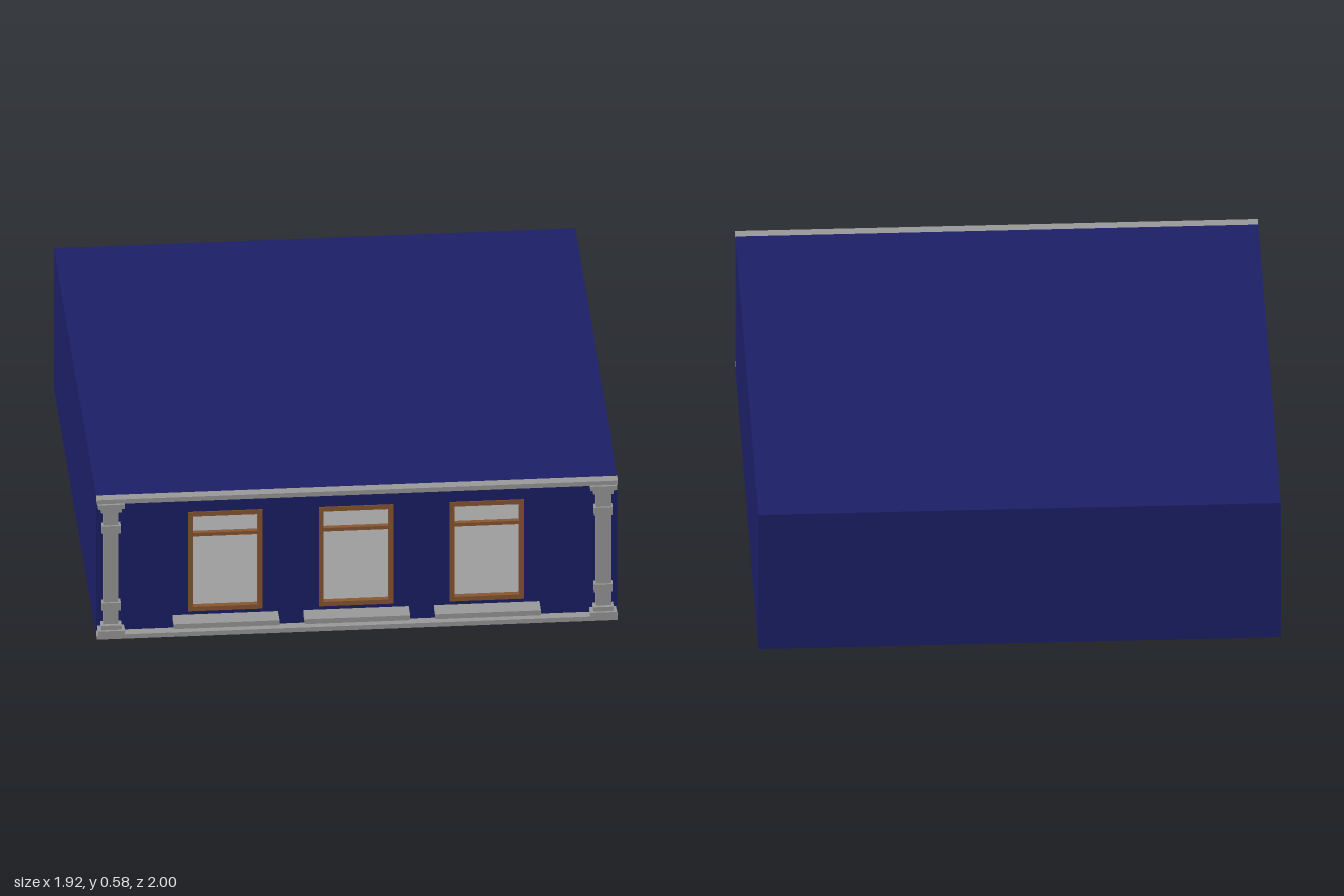
import * as THREE from 'three';

const HALF = 0.96, HEIGHT = 0.58, BACK = -1, INNER = 0.9, WALL = 0.928;
const WIN = { w: 0.274, y0: 0.085, y1: 0.497, bar: 0.018 };

const paint = (color) => new THREE.MeshStandardMaterial({ color });
const blue = paint(0x1b1f66), stone = paint(0x999999), wood = paint(0x8a5630), pane = paint(0xcccccc);

// Box given by its limits on each axis
function block(name, mat, x0, x1, y0, y1, z0, z1) {
  const mesh = new THREE.Mesh(new THREE.BoxGeometry(x1 - x0, y1 - y0, z1 - z0), mat);
  mesh.position.set((x0 + x1) / 2, (y0 + y1) / 2, (z0 + z1) / 2);
  mesh.name = name;
  return mesh;
}

// Rectangle as a shape or a hole
function rect(path, x0, x1, y0, y1) {
  path.moveTo(x0, y0);
  path.lineTo(x1, y0);
  path.lineTo(x1, y1);
  path.lineTo(x0, y1);
  path.closePath();
  return path;
}

function extrude(name, mat, shape, z0, z1) {
  const mesh = new THREE.Mesh(new THREE.ExtrudeGeometry(shape, { depth: z1 - z0, bevelEnabled: false }), mat);
  mesh.position.z = z0;
  mesh.name = name;
  return mesh;
}

// Wooden frame with a transom bar, recessed glass and a stone sill
function makeWindow() {
  const g = new THREE.Group();
  g.name = 'window';
  const { w, y0, y1, bar } = WIN, h = w / 2;
  const ring = rect(new THREE.Shape(), -h, h, y0, y1);
  ring.holes.push(rect(new THREE.Path(), -h + bar, h - bar, y0 + bar, y1 - bar));
  g.add(
    extrude('windowFrame', wood, ring, INNER, WALL + 0.004),
    block('transom', wood, -h + bar, h - bar, 0.394, 0.408, INNER, WALL),
    block('glass', pane, -h + bar, h - bar, y0 + bar, y1 - bar, INNER, INNER + 0.01),
    block('sill', stone, -0.194, 0.194, 0.05, 0.07, WALL, 1),
  );
  return g;
}

// Pilaster: shaft, two bands, stepped base and capital
function makePilaster() {
  const g = new THREE.Group();
  g.name = 'pilaster';
  const tiers = [
    ['shaft', 0.028, 0.018, 0.56, 0.953],
    ['plinth', 0.05, 0.018, 0.038, 0.975],
    ['baseStep', 0.039, 0.038, 0.056, 0.966],
    ['lowerBand', 0.036, 0.115, 0.147, 0.96],
    ['upperBand', 0.036, 0.435, 0.467, 0.96],
    ['capitalStep', 0.039, 0.525, 0.545, 0.966],
    ['capital', 0.05, 0.545, 0.563, 0.975],
  ];
  for (const [name, half, y0, y1, z] of tiers) g.add(block(name, stone, -half, half, y0, y1, WALL, z));
  return g;
}

export function createModel() {
  const model = new THREE.Group();
  model.name = 'buildingStorey';

  // Body and front wall with window openings
  model.add(block('body', blue, -HALF, HALF, 0, HEIGHT, BACK, INNER));
  const front = rect(new THREE.Shape(), -HALF, HALF, 0, HEIGHT);
  for (const i of [-1, 0, 1]) {
    const x = i * 0.4815 - 0.0025, h = WIN.w / 2;
    front.holes.push(rect(new THREE.Path(), x - h, x + h, WIN.y0, WIN.y1));
    const win = makeWindow();
    win.position.x = x;
    model.add(win);
  }
  model.add(extrude('frontWall', blue, front, INNER, WALL));

  // Horizontal mouldings
  model.add(
    block('cornice', stone, -HALF, HALF, 0.562, HEIGHT, WALL, 0.966),
    block('baseCourse', stone, -HALF, HALF, 0, 0.018, WALL, 0.966),
  );

  // Corner pilasters
  for (const side of [-1, 1]) {
    const p = makePilaster();
    p.position.x = side * 0.906;
    model.add(p);
  }
  return model;
}
